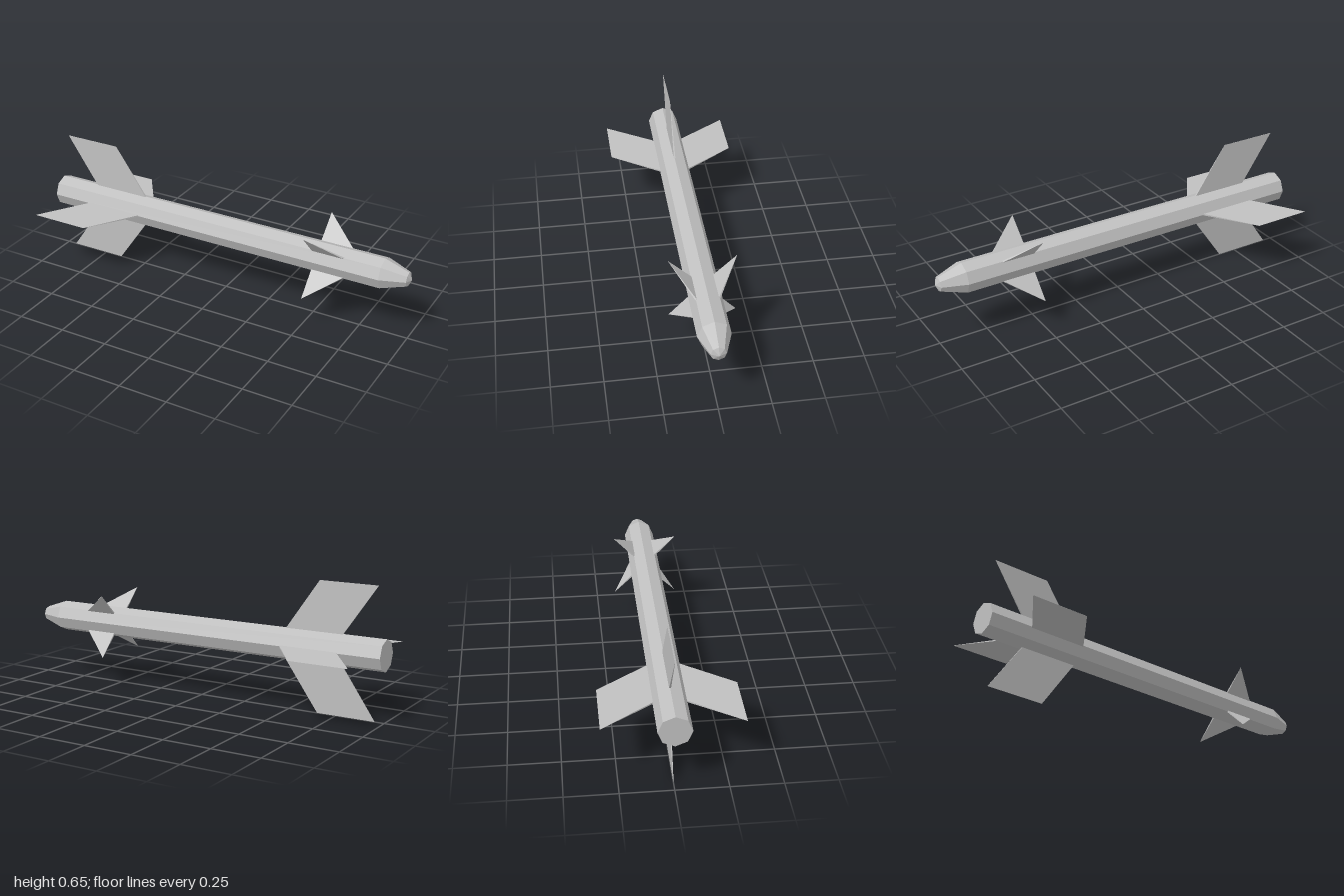
import * as THREE from 'three';

const BODY_R = 0.079;
const AXIS_Y = 0.327;

// Flat blade in the x / radius plane, thinning to a knife edge at its outer end
function bladeGeometry(outline, tipR) {
  const shape = new THREE.Shape(outline.map(([x, r]) => new THREE.Vector2(x, r)));
  const geo = new THREE.ExtrudeGeometry(shape, { depth: 1, bevelEnabled: false });
  geo.translate(0, 0, -0.5);
  const p = geo.attributes.position;
  for (let i = 0; i < p.count; i++) {
    const t = (tipR - p.getY(i)) / (tipR - BODY_R);
    p.setZ(i, p.getZ(i) * (0.0006 + 0.008 * t));
  }
  geo.computeVertexNormals();
  return geo;
}

export function createModel() {
  const model = new THREE.Group();
  model.name = 'missile';
  const grey = new THREE.MeshStandardMaterial({ color: 0xc0c0c0, flatShading: true });
  grey.name = 'light grey';

  // Octagonal body with tapered nose and shallow tip
  const profile = [[0, -1], [BODY_R, -1], [BODY_R, 0.86], [0.037, 0.983], [0, 1]]
    .map(([r, y]) => new THREE.Vector2(r, y));
  const body = new THREE.Mesh(new THREE.LatheGeometry(profile, 8), grey);
  body.name = 'body';
  body.rotation.z = -Math.PI / 2;
  body.position.y = AXIS_Y;
  model.add(body);

  // Four blades around the body axis
  function addBlades(name, geo, startAngle) {
    for (let i = 0; i < 4; i++) {
      const blade = new THREE.Mesh(geo, grey);
      blade.name = name + (i + 1);
      blade.position.y = AXIS_Y;
      blade.rotation.x = startAngle + i * Math.PI / 2;
      model.add(blade);
    }
  }

  // Swept tail fins, upright and level
  addBlades('tailFin', bladeGeometry(
    [[-0.76, 0.05], [-0.46, 0.05], [-0.652, 0.326], [-0.952, 0.326]], 0.326), 0);

  // Triangular forward fins, on the diagonals
  addBlades('forwardFin', bladeGeometry(
    [[0.505, 0.06], [0.692, 0.06], [0.505, 0.23]], 0.23), Math.PI / 4);

  return model;
}
